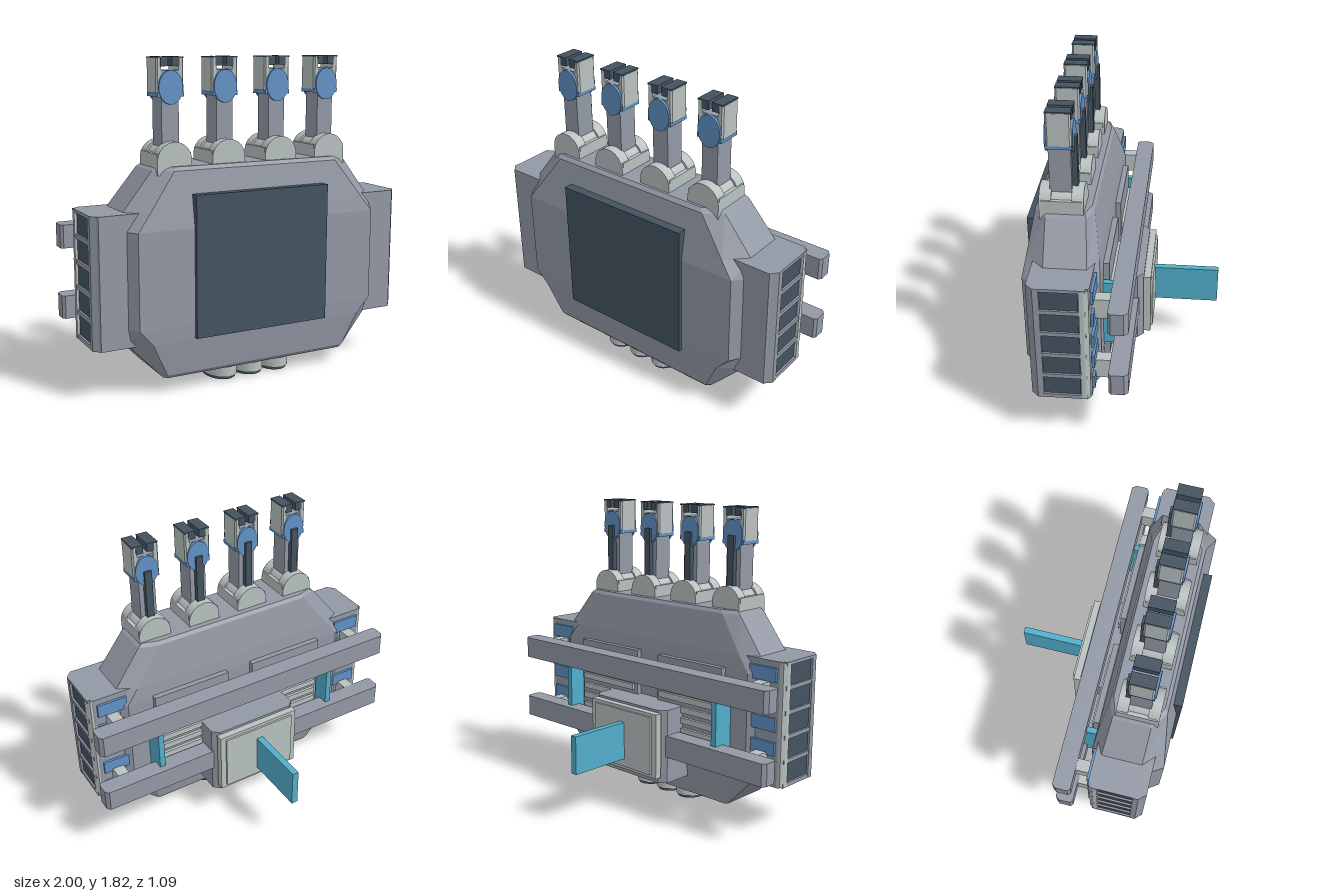
import * as THREE from 'three';

const mat = (name, color) => {
  const m = new THREE.MeshStandardMaterial({ color });
  m.name = name;
  return m;
};

export function createModel() {
  const grey = mat('hull grey', 0x9399a5);
  const light = mat('light grey', 0xb9c1c1);
  const dark = mat('dark slate', 0x445360);
  const blue = mat('blue', 0x6193c6);
  const cyan = mat('cyan', 0x52aecb);
  const root = new THREE.Group();
  root.name = 'roboticHand';

  const add = (parent, name, geo, material) => {
    const m = new THREE.Mesh(geo, material);
    m.name = name;
    parent.add(m);
    return m;
  };
  // box given by its limits on each axis
  const box = (parent, name, material, [x0, x1], [y0, y1], [z0, z1]) => {
    const g = new THREE.BoxGeometry(Math.abs(x1 - x0), y1 - y0, z1 - z0);
    g.translate((x0 + x1) / 2, (y0 + y1) / 2, (z0 + z1) / 2);
    return add(parent, name, g, material);
  };
  // plan outline [x, z] raised from y0 to y1
  const prism = (parent, name, material, plan, y0, y1) => {
    const shape = new THREE.Shape(plan.map(([x, z]) => new THREE.Vector2(x, -z)));
    const g = new THREE.ExtrudeGeometry(shape, { depth: y1 - y0, bevelEnabled: false });
    g.rotateX(-Math.PI / 2).translate(0, y0, 0);
    return add(parent, name, g, material);
  };
  // front-view outline pushed from z0 to z1
  const slab = (parent, name, material, shape, z0, z1) => {
    const g = new THREE.ExtrudeGeometry(shape, { depth: z1 - z0, bevelEnabled: false, curveSegments: 20 });
    g.translate(0, 0, z0);
    return add(parent, name, g, material);
  };
  // faceted skin through stacked rings, closed at both ends
  const loft = (rings) => {
    const p = [];
    const n = rings[0].length;
    for (let r = 0; r < rings.length - 1; r++) {
      for (let i = 0; i < n; i++) {
        const j = (i + 1) % n;
        const a = rings[r][i], b = rings[r][j], c = rings[r + 1][j], d = rings[r + 1][i];
        p.push(...a, ...b, ...c, ...a, ...c, ...d);
      }
    }
    const top = rings[rings.length - 1], bottom = rings[0];
    for (let i = 1; i < n - 1; i++) {
      p.push(...top[0], ...top[i], ...top[i + 1]);
      p.push(...bottom[0], ...bottom[i + 1], ...bottom[i]);
    }
    const g = new THREE.BufferGeometry();
    g.setAttribute('position', new THREE.Float32BufferAttribute(p, 3));
    g.computeVertexNormals();
    return g;
  };

  // palm: rows of y, half width, back z, front z, corner cut in x and z
  const rows = [
    [0.09, 0.58, 0.14, 0.48, 0.02, 0.02],
    [0.11, 0.6, 0.135, 0.495, 0.03, 0.03],
    [0.30, 0.78, 0.105, 0.52, 0.12, 0.08],
    [0.39, 0.78, 0.1, 0.525, 0.04, 0.06],
    [0.92, 0.78, 0.1, 0.525, 0.04, 0.06],
    [1.01, 0.78, 0.11, 0.51, 0.11, 0.11],
    [1.225, 0.61, 0.15, 0.475, 0.1, 0.07],
    [1.245, 0.58, 0.165, 0.455, 0.09, 0.06],
  ];
  add(root, 'palm', loft(rows.map(([y, w, b, f, cx, cz]) => [
    [-w + cx, y, f], [w - cx, y, f], [w, y, f - cz], [w, y, b + cz / 2],
    [w - cx, y, b], [-w + cx, y, b], [-w, y, b + cz / 2], [-w, y, f - cz],
  ])), grey);
  box(root, 'palmPanel', dark, [-0.415, 0.415], [0.31, 1.1], [0.47, 0.547]);

  // side pods with a column of dark cells
  for (const s of [1, -1]) {
    const pod = new THREE.Group();
    pod.name = s > 0 ? 'leftPod' : 'rightPod';
    root.add(pod);
    const flip = (plan) => plan.map(([x, z]) => [x * s, z]);
    prism(pod, 'podBody', grey, flip([[0.7, 0.465], [0.935, 0.465], [0.95, 0.44],
      [0.95, 0.14], [0.935, 0.13], [0.7, 0.13]]), 0.29, 1.015);
    prism(pod, 'frontRail', grey, flip([[0.93, 0.465], [0.97, 0.425], [0.97, 0.392], [0.93, 0.392]]), 0.29, 1.015);
    prism(pod, 'rearRail', light, flip([[0.93, 0.19], [0.97, 0.185], [0.97, 0.16], [0.955, 0.135], [0.93, 0.135]]), 0.295, 1.01);
    for (let i = 0; i < 5; i++) {
      const y = 0.3725 + i * 0.1413;
      box(pod, 'darkCell', dark, [s * 0.94, s * 0.957], [y - 0.058, y + 0.058], [0.19, 0.392]);
      box(pod, 'blueVent', blue, [s * 0.74, s * 0.92], [y - 0.04, y + 0.04], [0.115, 0.14]);
    }
    for (let i = 0; i < 6; i++) {
      const y = 0.302 + i * 0.1413;
      box(pod, 'cellRib', grey, [s * 0.94, s * 0.968], [y - 0.012, Math.min(y + 0.012, 1.015)], [0.15, 0.4]);
    }
    // cyan struts and rail mounts
    box(root, 'cyanStrut', cyan, [s * 0.59, s * 0.625], [0.42, 0.83], [-0.03, 0.11]);
    for (const y of [0.43, 0.835]) {
      box(root, 'railMount', light, [s * 0.8, s * 0.87], [y - 0.06, y + 0.06], [0.02, 0.135]);
    }
    // slatted plates on the back of the hand
    box(root, 'backPlate', grey, [s * 0.085, s * 0.58], [0.31, 0.93], [0.068, 0.11]);
    for (let i = 0; i < 7; i++) {
      const y = 0.37 + i * 0.065;
      box(root, 'backSlat', light, [s * 0.11, s * 0.555], [y - 0.018, y + 0.018], [0.05, 0.08]);
    }
  }

  // cross rails
  for (const y of [0.43, 0.835]) {
    prism(root, 'crossRail', grey, [[-1, 0.02], [-0.985, 0.035], [0.985, 0.035], [1, 0.02],
      [1, -0.05], [0.98, -0.073], [-0.98, -0.073], [-1, -0.05]], y - 0.066, y + 0.066);
  }

  // central rear housing, cover and fin
  prism(root, 'rearHousing', grey, [[-0.29, 0.12], [0.29, 0.12], [0.29, -0.065],
    [0.25, -0.102], [-0.25, -0.102], [-0.29, -0.065]], 0.2, 0.65);
  box(root, 'rearCover', light, [-0.27, 0.27], [0.24, 0.635], [-0.143, -0.1]);
  box(root, 'rearCoverFace', light, [-0.235, 0.235], [0.26, 0.615], [-0.155, -0.14]);
  box(root, 'rearFin', cyan, [-0.02, 0.02], [0.31, 0.54], [-0.545, -0.15]);

  // oval studs below the palm
  for (const x of [-0.17, 0, 0.17]) {
    const stud = new THREE.Group();
    stud.name = 'wristStud';
    root.add(stud);
    const disc = (name, r, y0, y1, m) => {
      const g = new THREE.CylinderGeometry(r, r, y1 - y0, 28);
      add(stud, name, g.translate(0, (y0 + y1) / 2, 0), m);
    };
    disc('studBody', 0.135, 0.022, 0.1, light);
    disc('studRim', 0.124, 0.006, 0.03, dark);
    disc('studFace', 0.108, 0, 0.02, light);
    stud.position.set(x, 0, 0.325);
    stud.scale.x = 0.7;
  }

  // fingers
  const dome = (r) => {
    const s = new THREE.Shape();
    s.moveTo(-r, 1.2);
    s.lineTo(r, 1.2);
    s.lineTo(r, 1.275);
    s.absarc(0, 1.275, r, 0, Math.PI, false);
    return s;
  };
  const oval = new THREE.Shape();
  oval.absellipse(0, 1.66, 0.07, 0.09, 0, Math.PI * 2, false, 0);
  for (const x of [-0.49, -0.165, 0.165, 0.49]) {
    const f = new THREE.Group();
    f.name = 'finger';
    f.position.x = x;
    root.add(f);
    slab(f, 'knuckleFront', light, dome(0.1), 0.375, 0.44);
    slab(f, 'knuckleCore', light, dome(0.088), 0.25, 0.39);
    slab(f, 'knuckleBack', light, dome(0.1), 0.2, 0.265);
    box(f, 'knuckleBridge', light, [-0.1, 0.1], [1.2, 1.315], [0.21, 0.43]);
    box(f, 'stem', grey, [-0.05, 0.05], [1.3, 1.75], [0.265, 0.385]);
    box(f, 'backTendon', dark, [-0.022, 0.022], [1.34, 1.66], [0.235, 0.27]);
    slab(f, 'jointDisc', blue, oval, 0.38, 0.4);
    slab(f, 'rearJointDisc', blue, oval, 0.25, 0.268);
    box(f, 'jointBand', blue, [-0.076, 0.076], [1.61, 1.635], [0.255, 0.395]);
    for (const s of [1, -1]) {
      prism(f, 'tipShell', light, [[s * 0.05, 0.385], [s * 0.072, 0.39], [s * 0.08, 0.38],
        [s * 0.08, 0.265], [s * 0.072, 0.255], [s * 0.05, 0.26]], 1.63, 1.813);
      box(f, 'tipPad', dark, [s * 0.012, s * 0.055], [1.77, 1.815], [0.255, 0.388]);
      box(f, 'tipCap', dark, [s * 0.012, s * 0.078], [1.812, 1.82], [0.255, 0.39]);
    }
  }
  return root;
}
